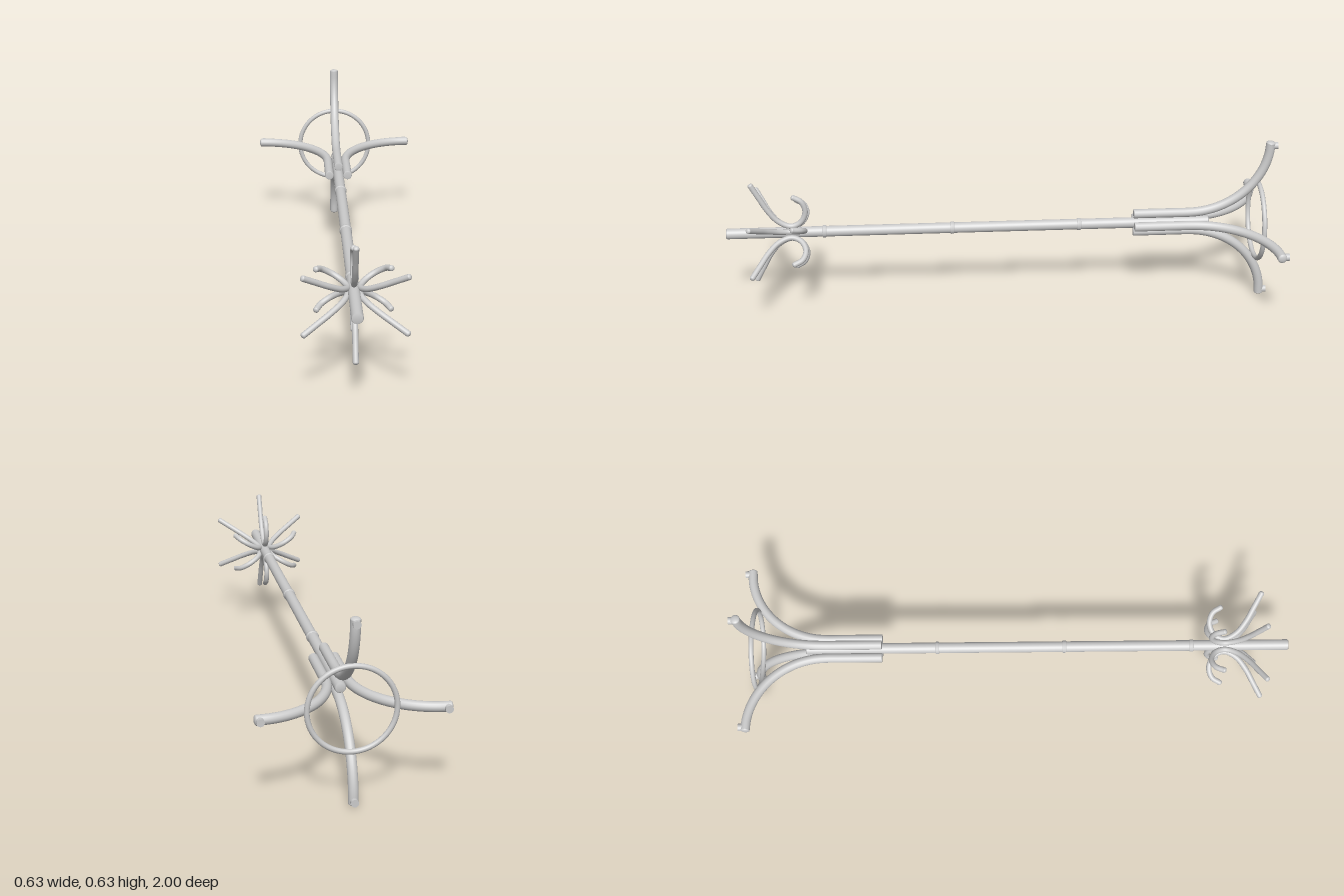
import * as THREE from 'three';

const material = new THREE.MeshStandardMaterial({ color: 0xcccccc });

function addMesh(parent, name, geometry) {
  const mesh = new THREE.Mesh(geometry, material);
  mesh.name = name;
  parent.add(mesh);
  return mesh;
}

// Solid rod along z, turned from a profile of [radius, z] points
function turned(points) {
  const profile = points.map(([r, z]) => new THREE.Vector2(r, z));
  return new THREE.LatheGeometry(profile, 32).rotateX(Math.PI / 2);
}

// Bent rod with a rounded cap on both ends; round sets how far the caps bulge
function addRod(parent, name, curve, radius, segments, round) {
  const rod = new THREE.Group();
  rod.name = name;
  addMesh(rod, name + 'Tube', new THREE.TubeGeometry(curve, segments, radius, 16));
  round.forEach((bulge, end) => {
    const cap = addMesh(rod, name + 'Cap', new THREE.SphereGeometry(radius, 16, 10));
    cap.position.copy(curve.getPointAt(end));
    cap.quaternion.setFromUnitVectors(new THREE.Vector3(0, 0, 1), curve.getTangentAt(end));
    cap.scale.z = bulge;
  });
  parent.add(rod);
}

export function createModel() {
  const model = new THREE.Group();
  model.name = 'coatStand';
  const stand = new THREE.Group();
  stand.name = 'stand';
  stand.position.y = 0.315; // the stand lies along z
  model.add(stand);

  // Pole with slightly softened ends
  addMesh(stand, 'pole', turned([
    [0, -0.765], [0.016, -0.765], [0.0195, -0.76],
    [0.0195, 0.996], [0.017, 1], [0, 1],
  ]));

  // Joint bands
  for (const z of [-0.285, 0.18, 0.645]) {
    const band = addMesh(stand, 'jointBand', turned([
      [0.019, -0.008], [0.0225, -0.005], [0.0225, 0.005], [0.019, 0.008],
    ]));
    band.position.z = z;
  }

  // Four legs sweeping outward, each with a small foot
  const legPoints = [];
  for (let i = 0; i <= 4; i++) legPoints.push(new THREE.Vector3(0.036, 0, -0.487 - 0.05 * i));
  for (let i = 1; i <= 10; i++) {
    const a = (i / 10) * Math.PI / 2;
    legPoints.push(new THREE.Vector3(0.307 - 0.271 * Math.cos(a), 0, -0.687 - 0.287 * Math.sin(a)));
  }
  const legCurve = new THREE.CatmullRomCurve3(legPoints);
  for (let i = 0; i < 4; i++) {
    const leg = new THREE.Group();
    leg.name = 'leg';
    leg.rotation.z = i * Math.PI / 2;
    addRod(leg, 'legRod', legCurve, 0.017, 48, [0.1, 0.45]);
    const foot = addMesh(leg, 'foot', new THREE.CylinderGeometry(0.013, 0.013, 0.03, 20).rotateX(Math.PI / 2));
    foot.position.set(0.297, 0, -0.985);
    stand.add(leg);
  }

  // Ring bracing the legs
  const ring = addMesh(stand, 'braceRing', new THREE.TorusGeometry(0.144, 0.009, 14, 64));
  ring.position.z = -0.943;

  // Six double hooks: long straight arm on one end, short curl on the other
  const hookCurve = new THREE.CatmullRomCurve3([
    [0.191, 0.9], [0.14, 0.873], [0.09, 0.846], [0.045, 0.81], [0.024, 0.765],
    [0.04, 0.729], [0.08, 0.711], [0.12, 0.722], [0.14, 0.752],
  ].map(([r, z]) => new THREE.Vector3(r, 0, z)));
  for (let i = 0; i < 6; i++) {
    const hook = new THREE.Group();
    hook.name = 'hook';
    hook.rotation.z = Math.PI / 6 + i * Math.PI / 3;
    addRod(hook, 'hookRod', hookCurve, 0.01, 48, [0.7, 0.7]);
    stand.add(hook);
  }

  return model;
}
